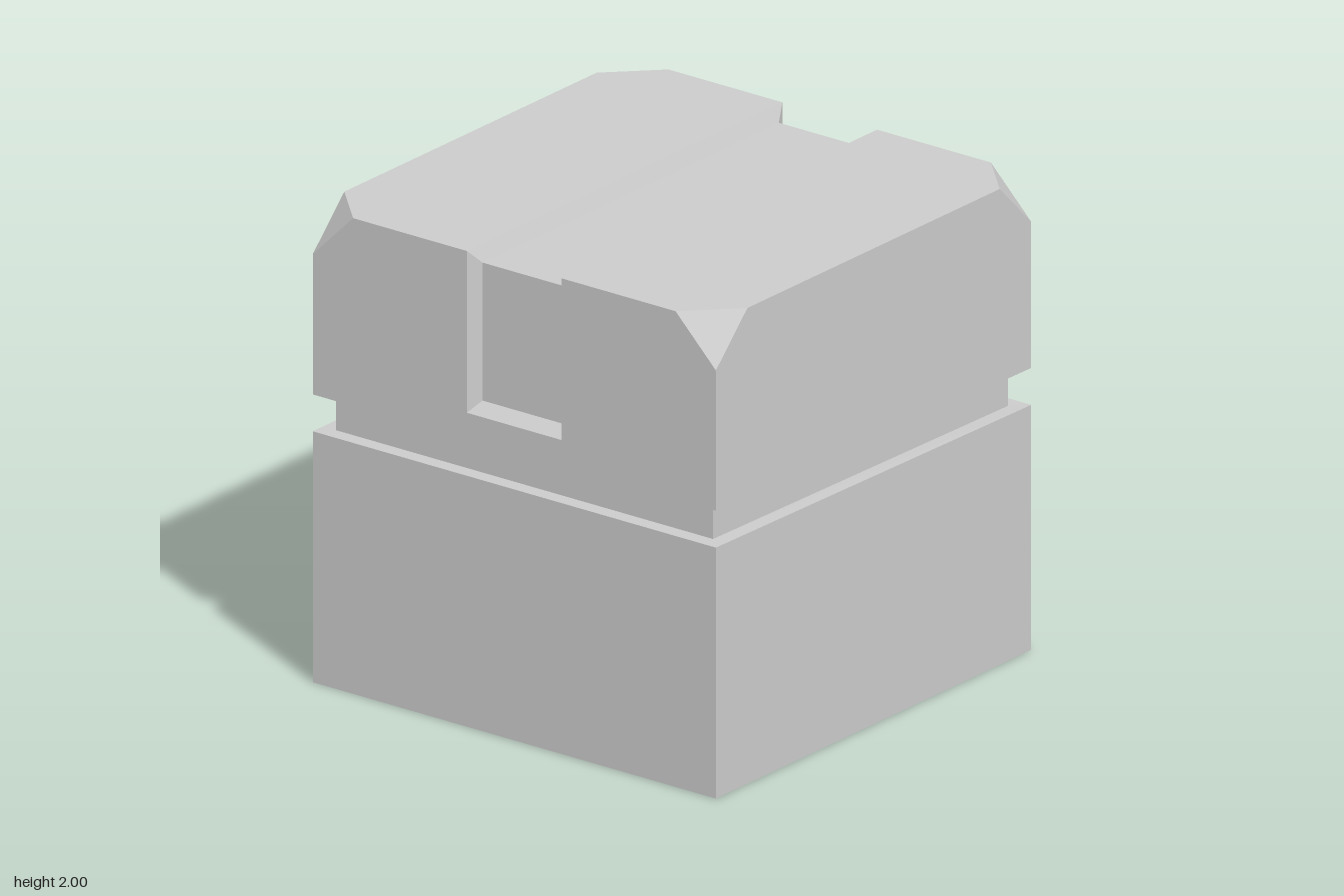
import * as THREE from 'three';

const material = new THREE.MeshStandardMaterial({ color: 0xcccccc, flatShading: true });
const V = (x, y, z) => new THREE.Vector3(x, y, z);

// Collects flat polygons; each is triangulated and turned to face "out".
class Faces {
  positions = [];
  add(out, pts) {
    const o = V(...out);
    const ax = [0, 1, 2].sort((a, b) => Math.abs(o.getComponent(a)) - Math.abs(o.getComponent(b)));
    const flat = pts.map(p => new THREE.Vector2(p.getComponent(ax[0]), p.getComponent(ax[1])));
    const reversed = THREE.ShapeUtils.isClockWise(flat);
    if (reversed) { flat.reverse(); pts = [...pts].reverse(); }
    for (const [a, b, c] of THREE.ShapeUtils.triangulateShape(flat, [])) {
      let t = [pts[a], pts[b], pts[c]];
      const n = t[1].clone().sub(t[0]).cross(t[2].clone().sub(t[0]));
      if (n.dot(o) < 0) t = [t[0], t[2], t[1]];
      t.forEach(p => this.positions.push(p.x, p.y, p.z));
    }
  }
  mesh(name) {
    const g = new THREE.BufferGeometry();
    g.setAttribute('position', new THREE.Float32BufferAttribute(this.positions, 3));
    g.computeVertexNormals();
    const m = new THREE.Mesh(g, material);
    m.name = name;
    return m;
  }
}

const CORE = 0.935;     // half width of the recessed core
const SEAM = 0.155;     // height of the seam
const CUT = 0.8;        // where the corner cuts begin on the top edges
const WIDE = 0.235, NARROW = 0.205, FLOOR = 0.94; // channel mouth, floor width, floor plane

// Four sides: u runs from left to right as seen from outside; seam = lower seam edge;
// channel = lower end of the strap channel on that side.
const sides = [
  { out: [0, 0, 1], at: (u, y, d = 1) => V(u, y, d), seam: [[-1, 1.055], [1, 1.055]], channel: 1.32 },
  { out: [1, 0, 0], at: (u, y, d = 1) => V(d, y, -u), seam: [[-1, 1.055], [1, 1.03]] },
  { out: [0, 0, -1], at: (u, y, d = 1) => V(-u, y, -d),
    seam: [[-1, 1.03], [-0.54, 1.03], [0.02, 1.21], [1, 1.215]], channel: 1.665 },
  { out: [-1, 0, 0], at: (u, y, d = 1) => V(-d, y, u),
    seam: [[-1, 1.215], [-0.48, 1.215], [-0.02, 1.055], [1, 1.055]] },
];

export function createModel() {
  const lower = new Faces(), core = new Faces(), upper = new Faces(), channel = new Faces();

  for (const { out, at, seam, channel: end } of sides) {
    // Outer walls of both halves
    lower.add(out, [at(-1, 0), at(1, 0), ...[...seam].reverse().map(([u, y]) => at(u, y))]);
    const notch = end ? [[WIDE, 2], [WIDE, end], [-WIDE, end], [-WIDE, 2]] : [];
    upper.add(out, [
      ...seam.map(([u, y]) => at(u, y + SEAM)),
      ...[[1, 1.8], [CUT, 2], ...notch, [-CUT, 2], [-1, 1.8]].map(([u, y]) => at(u, y)),
    ]);

    // Seam ledges above and below, and the recessed wall between
    for (let i = 0; i + 1 < seam.length; i++) {
      const [[u0, y0], [u1, y1]] = [seam[i], seam[i + 1]];
      const inset = u => Math.max(-CORE, Math.min(CORE, u));
      const i0 = inset(u0), i1 = inset(u1);
      lower.add([0, 1, 0], [at(u0, y0), at(u1, y1), at(i1, y1, CORE), at(i0, y0, CORE)]);
      upper.add([0, -1, 0], [at(u0, y0 + SEAM), at(u1, y1 + SEAM), at(i1, y1 + SEAM, CORE), at(i0, y0 + SEAM, CORE)]);
      core.add(out, [at(i0, y0, CORE), at(i1, y1, CORE), at(i1, y1 + SEAM, CORE), at(i0, y0 + SEAM, CORE)]);
    }

    // Channel running down this side: floor, sloped end and sloped flanks
    if (end) {
      const low = end + 0.04, top = 1 + FLOOR;
      channel.add(out, [at(-NARROW, low, FLOOR), at(NARROW, low, FLOOR), at(NARROW, top, FLOOR), at(-NARROW, top, FLOOR)]);
      channel.add([out[0], 1.1, out[2]], [at(-WIDE, end), at(WIDE, end), at(NARROW, low, FLOOR), at(-NARROW, low, FLOOR)]);
      for (const s of [-1, 1]) {
        const inward = at(-s * 2, 0, 1).setY(0);
        channel.add([inward.x, 0, inward.z * 0.5],
          [at(s * WIDE, end), at(s * WIDE, 2), at(s * NARROW, top, FLOOR), at(s * NARROW, low, FLOOR)]);
      }
    }
  }

  // Underside
  lower.add([0, -1, 0], [V(-1, 0, -1), V(1, 0, -1), V(1, 0, 1), V(-1, 0, 1)]);

  // Top halves, cut corners and the channel along the top
  const t = 1 + FLOOR;
  channel.add([0, 1, 0], [V(-NARROW, t, -FLOOR), V(NARROW, t, -FLOOR), V(NARROW, t, FLOOR), V(-NARROW, t, FLOOR)]);
  for (const s of [-1, 1]) {
    upper.add([0, 1, 0], [V(s * WIDE, 2, 1), V(s * CUT, 2, 1), V(s, 2, CUT),
      V(s, 2, -CUT), V(s * CUT, 2, -1), V(s * WIDE, 2, -1)]);
    channel.add([-s * 2, 1, 0], [V(s * WIDE, 2, 1), V(s * WIDE, 2, -1), V(s * NARROW, t, -FLOOR), V(s * NARROW, t, FLOOR)]);
    for (const f of [-1, 1]) upper.add([s, 1, f], [V(s * CUT, 2, f), V(s, 2, s ? f * CUT : 0), V(s, 1.8, f)]);
  }

  const model = new THREE.Group();
  model.name = 'box';
  model.add(lower.mesh('lowerBlock'), core.mesh('seamCore'), upper.mesh('upperBlock'), channel.mesh('strapChannel'));
  return model;
}
